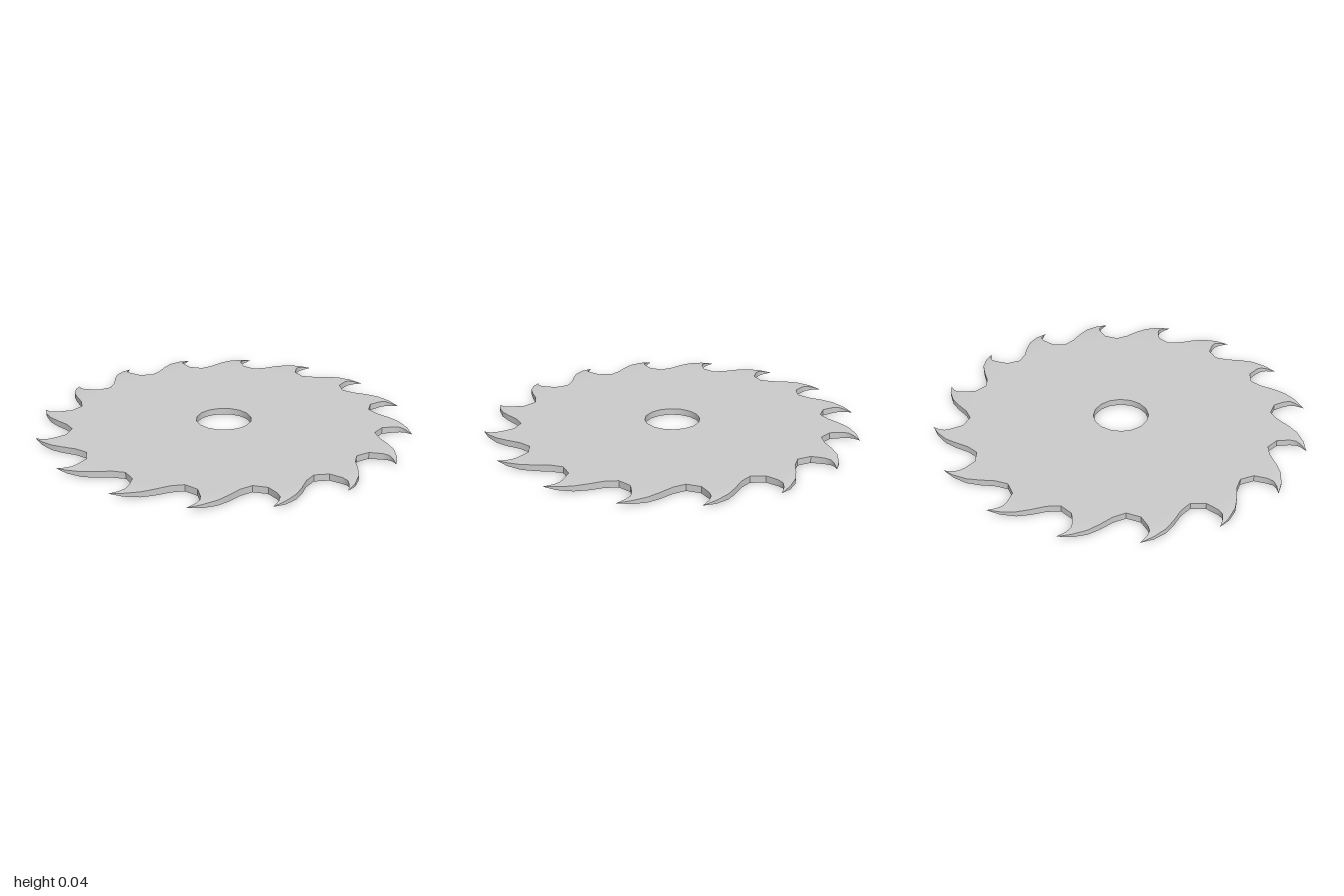
import * as THREE from 'three';
import { toCreasedNormals } from 'three/addons/utils/BufferGeometryUtils.js';

const TEETH = 16;
const HALF = 0.0175; // half thickness of the plate

// Rungs of one sector, from the bore out to the tooth tip:
// [back x, back z, front x, front z, thickness factor]
const RUNGS = [
  [-0.0293, -0.147, 0.0293, -0.147, 1],
  [-0.16, -0.8, 0.16, -0.8, 1],
  [-0.102, -0.84, 0.097, -0.845, 1],
  [-0.05, -0.9, 0.08, -0.912, 0.95],
  [0, -0.947, 0.081, -0.945, 0.8],
  [0.07, -0.983, 0.099, -0.97, 0.5],
  [0.14, -1, 0.14, -1, 0],
];

function createBladeGeometry() {
  const positions = [];
  const up = new THREE.Vector3(0, 1, 0);
  const tri = new THREE.Triangle();

  // Adds a quad, leaving out triangles that collapse at the tip
  const quad = (a, b, c, d) => {
    for (const [p, q, r] of [[a, b, c], [a, c, d]]) {
      if (tri.set(p, q, r).getArea() > 1e-9) {
        for (const v of [p, q, r]) positions.push(v.x, v.y, v.z);
      }
    }
  };

  for (let k = 0; k < TEETH; k++) {
    const angle = (k / TEETH) * Math.PI * 2;
    const corner = (x, z, h) => new THREE.Vector3(x, HALF + h, z).applyAxisAngle(up, angle);
    const sections = RUNGS.map(([bx, bz, fx, fz, t]) => ({
      lt: corner(bx, bz, HALF * t), lb: corner(bx, bz, -HALF * t),
      rt: corner(fx, fz, HALF * t), rb: corner(fx, fz, -HALF * t),
    }));

    // Wall of the bore
    const s = sections[0];
    quad(s.lb, s.rb, s.rt, s.lt);

    for (let i = 0; i < sections.length - 1; i++) {
      const a = sections[i], b = sections[i + 1];
      quad(a.lt, a.rt, b.rt, b.lt); // upper face
      quad(a.lb, b.lb, b.rb, a.rb); // lower face
      if (i > 0) {
        quad(a.rb, b.rb, b.rt, a.rt); // hooked cutting edge
        quad(a.lb, a.lt, b.lt, b.lb); // curved back of the tooth
      }
    }
  }

  const geometry = new THREE.BufferGeometry();
  geometry.setAttribute('position', new THREE.Float32BufferAttribute(positions, 3));
  return toCreasedNormals(geometry, THREE.MathUtils.degToRad(35));
}

export function createModel() {
  const group = new THREE.Group();
  group.name = 'circularSawBlade';
  const blade = new THREE.Mesh(
    createBladeGeometry(),
    new THREE.MeshStandardMaterial({ color: 0xcccccc })
  );
  blade.name = 'toothedBlade';
  group.add(blade);
  return group;
}
